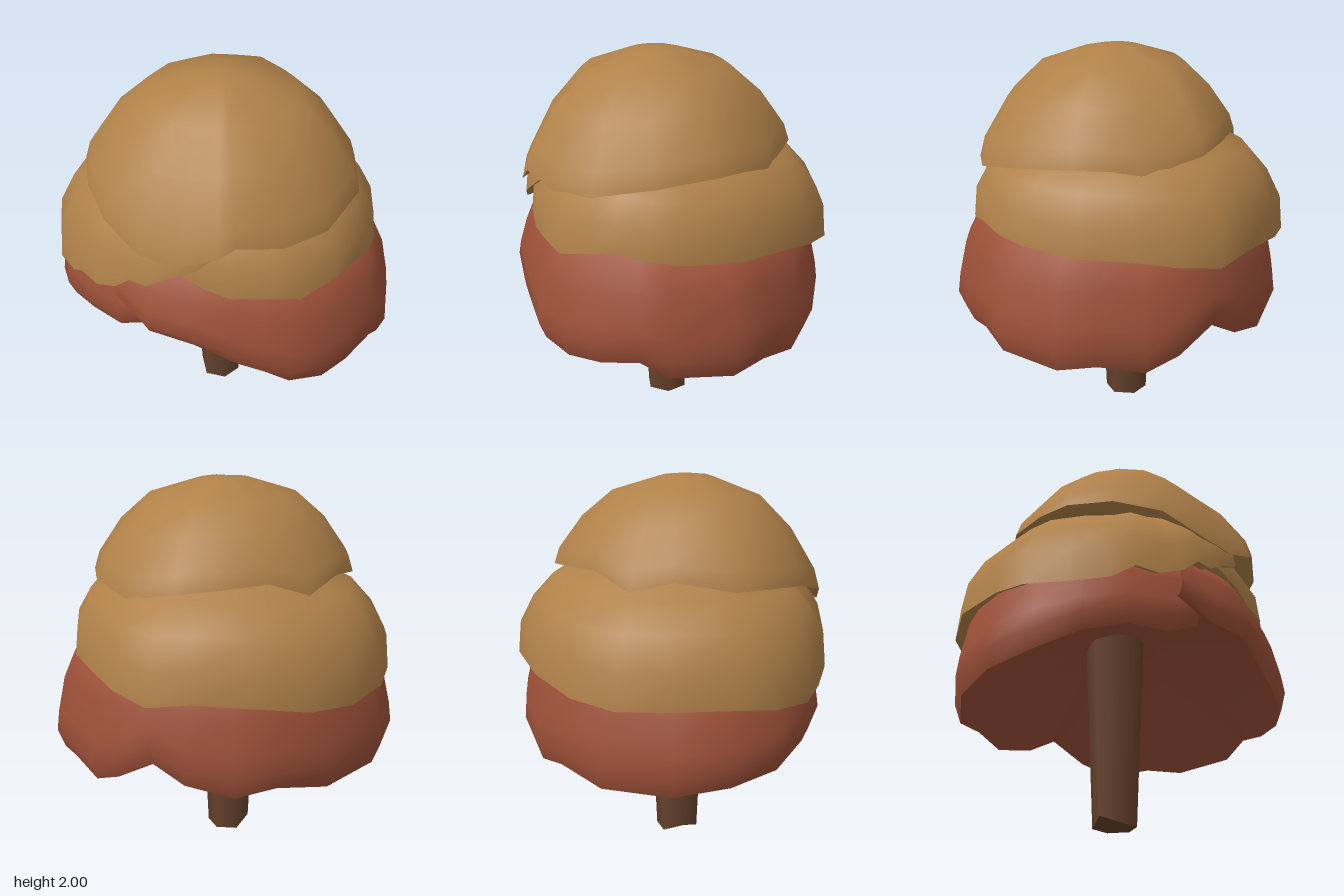
import * as THREE from 'three';

const rad = THREE.MathUtils.degToRad;

// Ragged dome: rim points are [angle from front in degrees, radius, height];
// rows are [height fraction from rim to crown, radius fraction].
function dome(name, material, rim, rows, crownY, cz, closed) {
  const pos = [], index = [], n = rim.length;
  for (const [h, k] of rows) {
    for (const [deg, r, y] of rim) {
      const a = rad(deg);
      pos.push(Math.sin(a) * r * k, y + (crownY - y) * h, cz + Math.cos(a) * r * k);
    }
  }
  const apex = pos.length / 3;
  pos.push(0, crownY, cz);
  const spans = closed ? n : n - 1;
  for (let j = 0; j < rows.length; j++) {
    for (let i = 0; i < spans; i++) {
      const a = j * n + i, b = j * n + (i + 1) % n;
      if (j === rows.length - 1) index.push(a, b, apex);
      else index.push(a, b, b + n, a, b + n, a + n);
    }
  }
  const geo = new THREE.BufferGeometry();
  geo.setAttribute('position', new THREE.Float32BufferAttribute(pos, 3));
  geo.setIndex(index);
  geo.computeVertexNormals();
  const mesh = new THREE.Mesh(geo, material);
  mesh.name = name;
  return mesh;
}

// One foliage layer: an outer dome and a shallow hollow underside sharing its rim
function foliage(name, material, rim, rows, topY, hollowY, cz, closed) {
  const layer = new THREE.Group();
  layer.name = name;
  const under = [[0, rows[0][1]], [0.45, 0.62], [0.85, 0.25]];
  layer.add(
    dome(name + 'Top', material, rim, rows, topY, cz, closed),
    dome(name + 'Underside', material, rim, under, hollowY, cz, closed),
  );
  return layer;
}

export function createModel() {
  const gold = new THREE.MeshStandardMaterial({ name: 'golden foliage', color: 0xb08149, side: THREE.DoubleSide });
  const red = new THREE.MeshStandardMaterial({ name: 'russet foliage', color: 0x9c5038, side: THREE.DoubleSide });
  const bark = new THREE.MeshStandardMaterial({ name: 'bark', color: 0x66422c });
  const tree = new THREE.Group();
  tree.name = 'tree';

  // Tapered trunk, wider where it enters the foliage, its foot lifted on one side
  const trunkGeo = new THREE.CylinderGeometry(0.165, 0.115, 1.15, 6, 1, false, Math.PI / 6);
  trunkGeo.translate(-0.03, 0.575, 0.01);
  const p = trunkGeo.attributes.position;
  for (let i = 0; i < p.count; i++) {
    if (p.getY(i) < 0.1 && p.getX(i) < -0.12) p.setY(i, 0.04);
  }
  const trunk = new THREE.Mesh(trunkGeo, bark);
  trunk.name = 'trunk';
  tree.add(trunk);

  // Lowest layer: open strip whose ends overlap at the front
  const lowerRim = [
    [-26, 0.8, 0.97], [-13, 0.81, 0.86], [5, 0.82, 0.85], [20, 0.83, 0.75], [30, 0.86, 0.7],
    [38, 0.9, 0.64], [50, 0.92, 0.61], [62, 0.91, 0.61], [75, 0.93, 0.65], [84, 0.93, 0.57],
    [105, 0.92, 0.545], [118, 0.88, 0.57], [134, 0.86, 0.53], [146, 0.85, 0.6], [160, 0.82, 0.71],
    [172, 0.82, 0.62], [190, 0.82, 0.56], [205, 0.83, 0.6], [225, 0.86, 0.55], [250, 0.91, 0.56],
    [268, 0.93, 0.6], [285, 0.92, 0.64], [300, 0.88, 0.72], [315, 0.83, 0.77], [330, 0.78, 0.77],
    [344, 0.74, 0.85],
  ];
  tree.add(foliage('lowerFoliage', red, lowerRim,
    [[0, 0.96], [0.12, 1], [0.26, 0.985], [0.5, 0.94], [0.72, 0.85], [0.88, 0.5]],
    1.36, 1.05, 0, false));

  // Middle layer: also a strip, its left end folded over the right one
  const middleRim = [
    [-4, 0.72, 1.24], [8, 0.74, 1.17], [18, 0.75, 1.12], [33, 0.79, 1.13], [43, 0.81, 1.1],
    [57, 0.82, 1.15], [66, 0.82, 1.17], [78, 0.82, 1.14], [90, 0.81, 1.12], [110, 0.8, 1.1],
    [130, 0.79, 1.09], [145, 0.82, 1.06], [160, 0.85, 1.03], [175, 0.82, 1.06], [195, 0.84, 1.05],
    [215, 0.86, 1], [232, 0.88, 0.98], [250, 0.9, 1], [270, 0.9, 0.99], [282, 0.92, 0.97],
    [297, 0.9, 0.95], [309, 0.86, 0.98], [317, 0.85, 1.05], [325, 0.83, 1.03], [334, 0.81, 1.08],
    [341, 0.8, 1.16], [347, 0.79, 1.15], [356, 0.77, 1.22], [366, 0.75, 1.28], [378, 0.7, 1.38],
  ];
  tree.add(foliage('middleFoliage', gold, middleRim,
    [[0, 1], [0.26, 0.98], [0.48, 0.89], [0.66, 0.76], [0.88, 0.42]], 1.7, 1.42, 0, false));

  // Crown: closed cap leaning slightly to the front
  const crownRim = [
    [0, 0.71, 1.31], [15, 0.72, 1.38], [22, 0.72, 1.44], [40, 0.72, 1.4], [60, 0.73, 1.41],
    [85, 0.73, 1.47], [110, 0.69, 1.49], [125, 0.68, 1.49], [140, 0.68, 1.46], [165, 0.7, 1.53],
    [185, 0.64, 1.55], [205, 0.64, 1.57], [225, 0.66, 1.49], [245, 0.66, 1.55], [270, 0.69, 1.5],
    [285, 0.7, 1.5], [305, 0.7, 1.48], [325, 0.72, 1.42], [343, 0.72, 1.32],
  ];
  tree.add(foliage('crownFoliage', gold, crownRim,
    [[0, 1], [0.18, 0.96], [0.54, 0.78], [0.82, 0.55], [0.97, 0.2]], 2, 1.75, 0.07, true));

  return tree;
}
